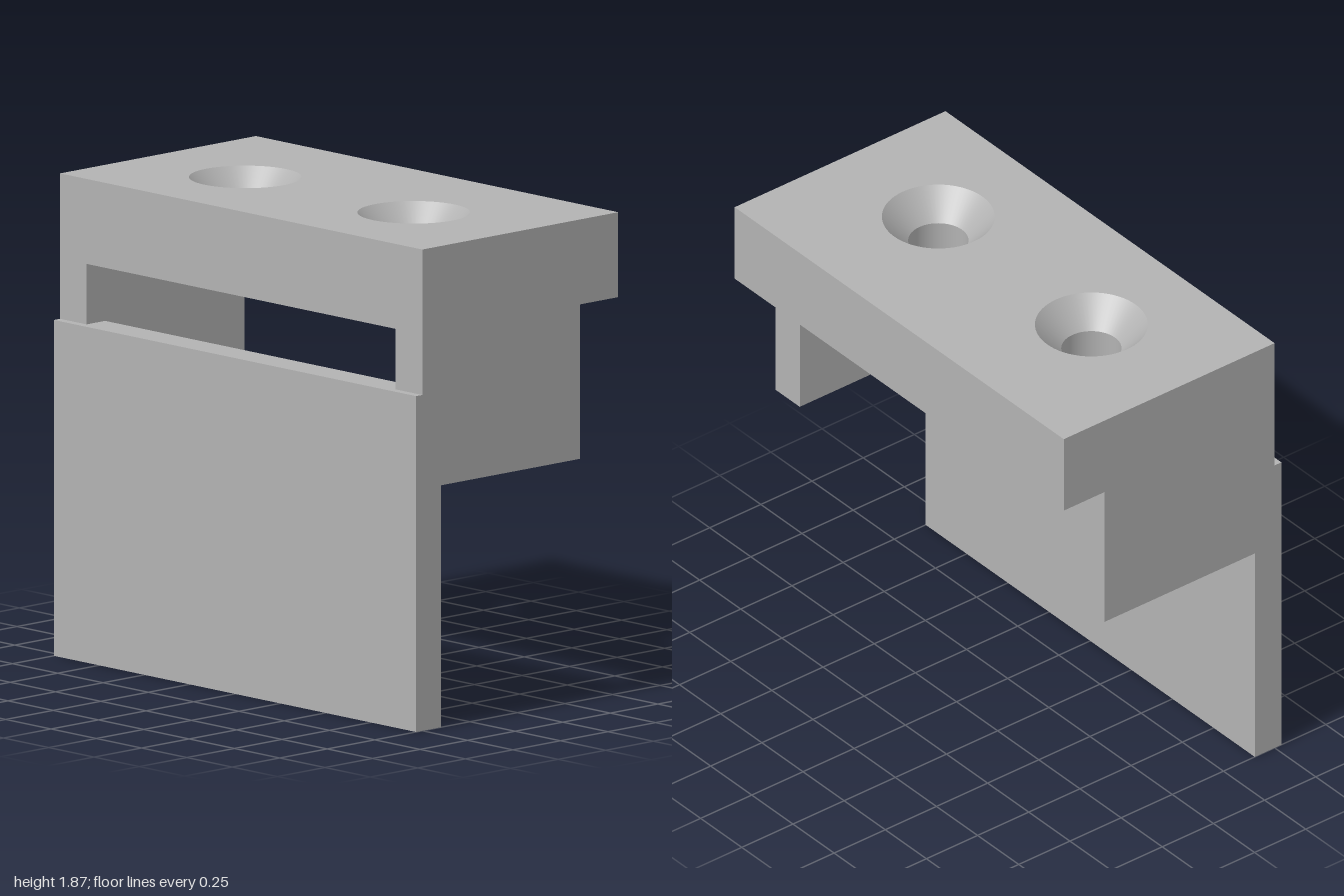
import * as THREE from 'three';

const Y_TOP = 1.87, Y_SLAB = 1.54, Y_SINK = 1.76, Y_PLATE = 1.305, Y_CHEEK = 0.94;
const X_BACK = -0.5, X_FRONT = 0.53, HOLE_X = -0.035, HOLE_Z = 0.465;
const R_SINK = 0.215, R_BORE = 0.115;

export function createModel() {
  const model = new THREE.Group();
  model.name = 'mountingBracket';
  const grey = new THREE.MeshStandardMaterial({ color: 0xb2b2b2 });
  grey.name = 'grey';

  const add = (parent, name, geometry) => {
    const mesh = new THREE.Mesh(geometry, grey);
    mesh.name = name;
    parent.add(mesh);
    return mesh;
  };

  // Rectangle in x and z with two round holes, lying flat
  const piercedFace = (radius, y, up) => {
    const s = new THREE.Shape();
    s.moveTo(X_BACK, -1).lineTo(X_FRONT, -1).lineTo(X_FRONT, 1).lineTo(X_BACK, 1).closePath();
    for (const z of [-HOLE_Z, HOLE_Z]) {
      s.holes.push(new THREE.Path().absarc(HOLE_X, z, radius, 0, Math.PI * 2, true));
    }
    const g = new THREE.ShapeGeometry(s, 32);
    return g.rotateX(up ? -Math.PI / 2 : Math.PI / 2).translate(0, y, 0);
  };

  // Top slab: pierced faces, a rim and two countersunk holes
  const slab = new THREE.Group();
  slab.name = 'topSlab';
  model.add(slab);
  add(slab, 'slabTop', piercedFace(R_SINK, Y_TOP, true));
  add(slab, 'slabUnderside', piercedFace(R_BORE, Y_SLAB, false));

  // Rim: a box without its top and bottom faces
  const rim = new THREE.BoxGeometry(X_FRONT - X_BACK, Y_TOP - Y_SLAB, 2);
  const index = Array.from(rim.index.array);
  rim.setIndex([...index.slice(0, 12), ...index.slice(24)]);
  rim.clearGroups();
  rim.translate((X_FRONT + X_BACK) / 2, (Y_TOP + Y_SLAB) / 2, 0);
  add(slab, 'slabRim', rim);

  // Hole walls run downwards so that they face inwards
  const wall = (r1, y1, r2, y2) =>
    new THREE.LatheGeometry([new THREE.Vector2(r1, y1), new THREE.Vector2(r2, y2)], 64);
  for (const z of [-HOLE_Z, HOLE_Z]) {
    add(slab, 'countersink', wall(R_SINK, Y_TOP, R_BORE, Y_SINK)).position.set(HOLE_X, 0, z);
    add(slab, 'screwBore', wall(R_BORE, Y_SINK, R_BORE, Y_SLAB)).position.set(HOLE_X, 0, z);
  }

  // Back plate
  const plate = new THREE.BoxGeometry(0.13, Y_PLATE, 2);
  add(model, 'backPlate', plate.translate(-0.468, Y_PLATE / 2, 0));

  // Side cheeks, notched around the back plate
  const cheek = new THREE.Shape();
  cheek.moveTo(-0.403, Y_CHEEK).lineTo(0.33, Y_CHEEK).lineTo(0.33, Y_SLAB)
    .lineTo(X_BACK, Y_SLAB).lineTo(X_BACK, Y_PLATE).lineTo(-0.403, Y_PLATE).closePath();
  for (const [name, z] of [['frontCheek', 0.853], ['backCheek', -1]]) {
    const g = new THREE.ExtrudeGeometry(cheek, { depth: 0.147, bevelEnabled: false });
    add(model, name, g.translate(0, 0, z));
  }

  return model;
}
